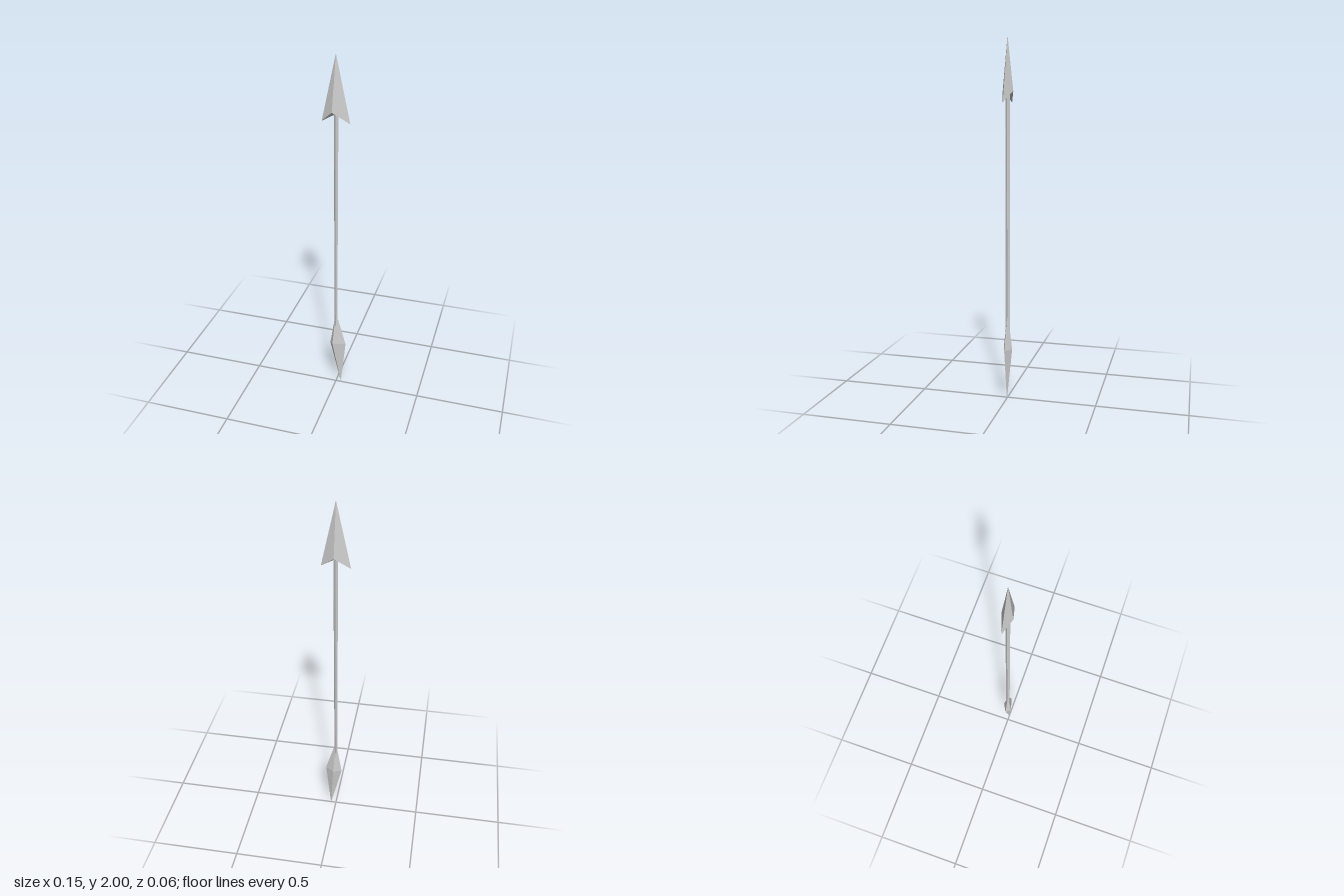
import * as THREE from 'three';

const material = new THREE.MeshStandardMaterial({ color: 0xcccccc, flatShading: true });

// Faceted solid: rings listed from top to bottom, each counterclockwise seen from above.
// A ring of four equal points forms an apex; its collapsed triangles are left out.
function loft(name, rings) {
  const positions = [];
  const add = (a, b, c) => {
    if (a !== b && b !== c && a !== c) positions.push(...a, ...b, ...c);
  };
  for (let r = 0; r < rings.length - 1; r++) {
    for (let i = 0; i < 4; i++) {
      const j = (i + 1) % 4;
      const [up, low] = [rings[r], rings[r + 1]];
      add(up[i], low[i], low[j]);
      add(up[i], low[j], up[j]);
    }
  }
  const geometry = new THREE.BufferGeometry();
  geometry.setAttribute('position', new THREE.Float32BufferAttribute(positions, 3));
  geometry.computeVertexNormals();
  const mesh = new THREE.Mesh(geometry, material);
  mesh.name = name;
  return mesh;
}

const apex = (x, y, z) => Array(4).fill([x, y, z]);

// Square section with its corners on the axes
const diamond = (x, y, z, rx, rz) => [
  [x + rx, y, z], [x, y, z - rz], [x - rx, y, z], [x, y, z + rz],
];

export function createModel() {
  const arrow = new THREE.Group();
  arrow.name = 'arrow';

  // Barbed head with a notched underside
  arrow.add(loft('arrowhead', [
    apex(0, 2, 0),
    [[0.077, 1.65, 0.006], [0.006, 1.71, -0.033], [-0.077, 1.65, -0.006], [-0.013, 1.71, 0.03]],
    apex(0, 1.695, 0),
  ]));

  // Slender four-sided shaft, slightly thinner toward the tail
  arrow.add(loft('shaft', [
    apex(0.001, 1.72, -0.001),
    diamond(0.001, 1.7, -0.001, 0.012, 0.012),
    diamond(0, 0.35, -0.001, 0.008, 0.012),
    apex(0, 0.33, -0.001),
  ]));

  // Lopsided double-pointed tail
  arrow.add(loft('tail', [
    apex(0, 0.5, 0),
    [[0.06, 0.29, 0.004], [0.012, 0.29, -0.03], [-0.035, 0.28, -0.004], [-0.014, 0.29, 0.025]],
    apex(0.03, 0, -0.004),
  ]));

  return arrow;
}
